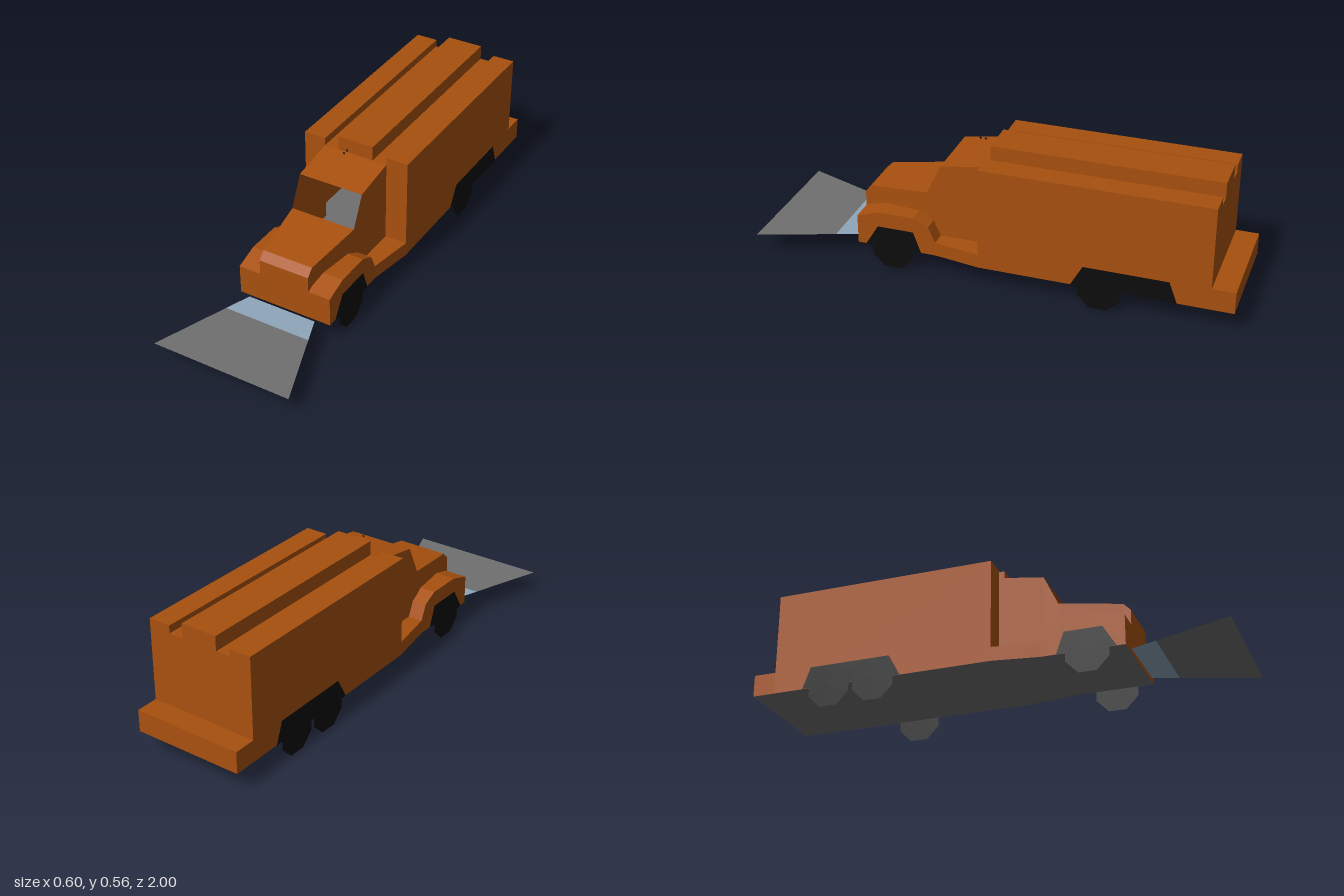
import * as THREE from 'three';

const mat = (name, color) => {
  const m = new THREE.MeshStandardMaterial({ color, side: THREE.DoubleSide });
  m.name = name;
  return m;
};

// Piecewise-linear lookup of y at z; points run front to back
function at(pts, z) {
  for (let i = 0; i < pts.length - 1; i++) {
    const [z0, v0] = pts[i], [z1, v1] = pts[i + 1];
    if (z <= z0 && z >= z1) return v0 + (v1 - v0) * (z0 - z) / (z0 - z1);
  }
  return z > pts[0][0] ? pts[0][1] : pts[pts.length - 1][1];
}

function fromQuads(quads) {
  const p = [];
  for (const [a, b, c, d] of quads) p.push(...a, ...b, ...c, ...a, ...c, ...d);
  const g = new THREE.BufferGeometry();
  g.setAttribute('position', new THREE.Float32BufferAttribute(p, 3));
  g.computeVertexNormals();
  return g;
}

// Half rings (bottom outside to top centre), front to back, mirrored over x
function loft(sections, skip = () => false) {
  const quads = [];
  for (let i = 0; i < sections.length - 1; i++) {
    const f = sections[i], b = sections[i + 1];
    for (let j = 0; j < f.ring.length - 1; j++) {
      if (skip(f, j)) continue;
      const q = [[f, j], [b, j], [b, j + 1], [f, j + 1]].map(([s, k]) => [...s.ring[k], s.z]);
      quads.push(q, q.map(([x, y, z]) => [-x, y, z]).reverse());
    }
  }
  return fromQuads(quads);
}

const flat = (pts) => new THREE.ShapeGeometry(new THREE.Shape(pts.map(([x, y]) => new THREE.Vector2(x, y))));
const whole = (ring) => [...ring, ...ring.map(([x, y]) => [-x, y]).reverse()];
const rect = (x0, x1, y0, y1) => flat([[x0, y0], [x1, y0], [x1, y1], [x0, y1]]);

export function createModel() {
  const orange = mat('orange paint', 0xa8500e);
  const grey = mat('grey', 0x707070);
  const blue = mat('pale blue', 0x90a6bc);
  const black = mat('black', 0x0c0c0c);

  const model = new THREE.Group();
  model.name = 'truck';
  const body = new THREE.Group();
  body.name = 'body';
  body.position.x = 0.0085;
  model.add(body);
  const add = (name, geo, m, parent = body) => {
    const mesh = new THREE.Mesh(geo, m);
    mesh.name = name;
    parent.add(mesh);
    return mesh;
  };

  const base = 0.09, W = 0.2365, CAB = 0.1415, LOBE = 0.079;
  const zBox = 0.04, zRear = -0.905, zEnd = -1, zNose = 0.575;

  // Hollow rear box with two grooves along the roof
  const roofRing = [[W, 0.53], [CAB, 0.53], [CAB, 0.498], [LOBE, 0.498], [LOBE, 0.56], [0, 0.56]];
  const boxRing = [[W, base], ...roofRing];
  add('rearBox', loft([{ z: zBox, ring: boxRing }, { z: zRear, ring: boxRing }]), orange);
  add('rearWall', flat(whole([[W, base], ...roofRing.slice(0, -1)])).rotateY(Math.PI).translate(0, 0, zRear), orange);
  for (const s of [-1, 1]) {
    add('boxFrontPanel', rect(s > 0 ? CAB : -W, s > 0 ? W : -CAB, 0.15, 0.53).translate(0, 0, zBox), orange);
  }
  add('roofLockerFront', rect(-LOBE, LOBE, 0.498, 0.56).translate(0, 0, zBox), orange);

  // Rear step
  const stepRing = [[W, base], [W, 0.183], [0, 0.183]];
  add('rearStep', loft([{ z: zRear, ring: stepRing }, { z: zEnd, ring: stepRing }]), orange);
  add('rearStepFace', rect(-W, W, base, 0.183).rotateY(Math.PI).translate(0, 0, zEnd), orange);

  // Cab, hood and fenders, with an open windshield
  const topLine = [[zNose, 0.28], [0.545, 0.31], [0.29, 0.34], [0.23, 0.468], [zBox, 0.498]];
  const hoodHalf = [[zNose, 0.1095], [0.545, 0.1095], [0.29, CAB], [zBox, CAB]];
  const fenderLine = [[zNose, 0.215], [0.48, 0.246], [0.328, 0.246], [0.265, 0.215], [0.235, 0.15], [zBox, 0.15]];
  const fenderHalf = [[zNose, 0.205], [0.235, 0.205], [zBox, W]];
  const sections = [zNose, 0.545, 0.48, 0.328, 0.29, 0.265, 0.235, 0.23, zBox].map((z) => {
    const fw = at(fenderHalf, z), fy = at(fenderLine, z), hw = at(hoodHalf, z), ty = at(topLine, z);
    return { z, ring: [[fw, base], [fw, fy], [hw, fy], [hw, ty], [0, ty]] };
  });
  add('cab', loft(sections, (f, j) => j === 3 && f.z <= 0.29 && f.z > 0.23), orange);
  add('nose', flat(whole(sections[0].ring.slice(0, -1))).translate(0, 0, zNose), orange);

  // Floor following the outline of the body, facing down
  const outline = [[W, zEnd], [W, zBox], [0.205, 0.235], [0.205, zNose]];
  add('floor', flat(whole(outline)).rotateX(Math.PI / 2).translate(0, base, 0), grey);

  // Flat wheel arches and octagonal wheels on each side
  for (const s of [-1, 1]) {
    const onSide = (geo, x) => geo.rotateY(s * Math.PI / 2).translate(s * x, 0, 0);
    const arch = (z0, z1, z2, z3) =>
      flat([[z0, base], [z1, 0.181], [z2, 0.181], [z3, base]].map(([z, y]) => [-s * z, y]));
    add('frontArch', onSide(arch(0.54, 0.485, 0.33, 0.297), 0.207), black);
    add('rearArch', onSide(arch(-0.345, -0.395, -0.742, -0.775), W + 0.002), black);
    const wheels = [['frontWheel', 0.422, 0.208], ['middleWheel', -0.462, W + 0.003]];
    if (s < 0) wheels.push(['rearWheel', -0.656, W + 0.003]);
    for (const [name, z, x] of wheels) {
      const disc = new THREE.CircleGeometry(0.0974, 8).rotateZ(Math.PI / 8).scale(0.98, 1, 1);
      add(name, onSide(disc.translate(-s * z, 0.09, 0), x), black);
    }
  }

  // Tiny beacons floating over the cab roof
  for (const z of [0.09, 0.113]) {
    add('beacon', new THREE.OctahedronGeometry(0.006), black, model).position.set(0, 0.544, z);
  }

  // Flat light patch on the road ahead, in two bands
  const band = (z0, w0, z1, w1) => fromQuads([[[-w0, base, z0], [-w1, base, z1], [w1, base, z1], [w0, base, z0]]]);
  add('nearPatch', band(0.585, 0.15, 0.69, 0.188), blue, model);
  add('farPatch', band(0.69, 0.188, 1, 0.3), grey, model);

  return model;
}
